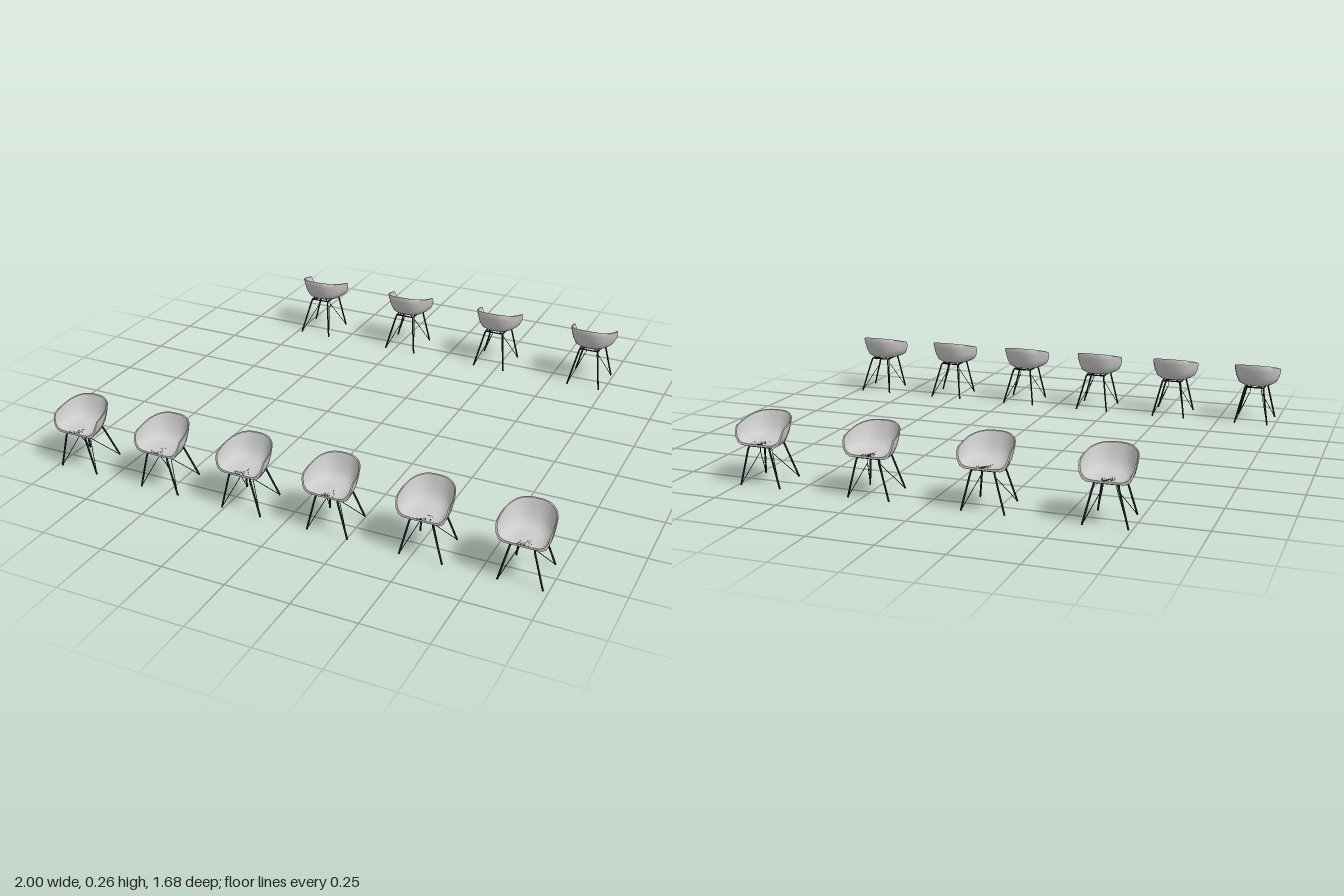
import * as THREE from 'three';
import { toCreasedNormals } from 'three/addons/utils/BufferGeometryUtils.js';

const shellMaterial = new THREE.MeshStandardMaterial({ color: 0xcccccc });
const frameMaterial = new THREE.MeshStandardMaterial({ color: 0x222222, side: THREE.DoubleSide });

const FRONT = 0.08; // z of the seat's front edge

// Shell section from the seat centre, over the rim, to the underside centre:
// [half width, depth, height fraction]
const SECTION = [
  [0, 0, 0.12], [0.035, 0.06, 0.11], [0.06, 0.1, 0.14], [0.075, 0.119, 0.24],
  [0.086, 0.132, 0.45], [0.092, 0.143, 0.75], [0.0935, 0.15, 0.98],
  [0.0965, 0.154, 1], [0.099, 0.155, 0.97],
  [0.098, 0.15, 0.75], [0.093, 0.14, 0.42], [0.083, 0.124, 0.14],
  [0.068, 0.104, 0.02], [0.035, 0.06, 0], [0, 0, 0],
];

// Tub-shaped shell: the section is swept round a D-shaped outline
function shellGeometry() {
  const stations = 36, n = SECTION.length, power = 2 / 2.6;
  const positions = [], index = [];
  for (let i = 0; i <= stations; i++) {
    const t = (i / stations) * Math.PI;
    const c = Math.cos(t), s = Math.max(0, Math.sin(t));
    const x = Math.sign(c) * Math.abs(c) ** power, z = s ** power;
    const height = 0.07 + 0.036 * z;
    for (const [w, d, f] of SECTION) {
      // the arm ends lean back towards the top
      const setback = 0.02 * f ** 3 * (1 - z);
      positions.push(w * x, 0.155 + f * height, FRONT - setback - d * z);
    }
  }
  for (let i = 0; i < stations; i++) {
    for (let j = 0; j < n - 1; j++) {
      const a = i * n + j, b = a + n;
      if (j > 0) index.push(a, a + 1, b);
      if (j < n - 2) index.push(a + 1, b + 1, b);
      else continue;
      if (j === 0) index.splice(-3, 3, a, a + 1, b + 1);
    }
  }
  // close the two front ends of the section
  const last = stations * n;
  for (let j = 0; j < (n - 1) / 2; j++) {
    const k = n - 1 - j;
    index.push(j, k, k - 1, last + j, last + k - 1, last + k);
    if (j + 1 < k - 1) {
      index.push(j, k - 1, j + 1, last + j, last + j + 1, last + k - 1);
    }
  }
  const geometry = new THREE.BufferGeometry();
  geometry.setAttribute('position', new THREE.Float32BufferAttribute(positions, 3));
  geometry.setIndex(index);
  return toCreasedNormals(geometry, 0.8);
}

// Bent rod through the points, with rounded corners
function rod(points, radius, bend = 0.012) {
  const p = points.map((q) => new THREE.Vector3(...q));
  const path = new THREE.CurvePath();
  let from = p[0];
  for (let i = 1; i < p.length - 1; i++) {
    const enter = p[i].clone().add(p[i - 1].clone().sub(p[i]).setLength(bend));
    const leave = p[i].clone().add(p[i + 1].clone().sub(p[i]).setLength(bend));
    path.add(new THREE.LineCurve3(from, enter));
    path.add(new THREE.QuadraticBezierCurve3(enter, p[i], leave));
    from = leave;
  }
  path.add(new THREE.LineCurve3(from, p[p.length - 1]));
  return new THREE.TubeGeometry(path, points.length > 2 ? 48 : 1, radius, 8);
}

function createParts() {
  const parts = [['seatShell', shellGeometry(), shellMaterial]];
  const add = (name, points, radius, bend) => parts.push([name, rod(points, radius, bend), frameMaterial]);

  for (const [side, m] of [['left', 1], ['right', -1]]) {
    const frontFoot = [0.081 * m, 0.001, 0.076], backFoot = [0.071 * m, 0.001, -0.089];
    const frontTop = [0.042 * m, 0.152, 0.074], backTop = [0.04 * m, 0.152, -0.035];
    const apex = [0.025 * m, 0.12, 0.022];
    add(side + 'LegFrame', [frontFoot, frontTop, backTop, backFoot], 0.0036);
    // thin bracing wires
    add(side + 'BraceWire', [frontFoot, apex, backFoot], 0.0013, 0.004);
    add(side + 'BraceHanger', [apex, [0.022 * m, 0.154, 0.022]], 0.0013);
    // diagonal under the seat
    add(side + 'SeatDiagonal', [frontTop, [-0.04 * m, 0.152, -0.035]], 0.0025);
  }
  for (const [name, z] of [['frontCrossbar', 0.066], ['backCrossbar', -0.03]]) {
    add(name, [[-0.042, 0.152, z], [0.042, 0.152, z]], 0.003);
  }
  return parts;
}

export function createModel() {
  const model = new THREE.Group();
  model.name = 'chairRows';
  const parts = createParts();

  const rows = [
    { name: 'frontRow', xs: [-0.9, -0.532, -0.178, 0.175, 0.537, 0.9], z: 0.76, turn: 0 },
    { name: 'backRow', xs: [-0.657, -0.218, 0.219, 0.658], z: -0.76, turn: Math.PI },
  ];
  for (const { name, xs, z, turn } of rows) {
    const row = new THREE.Group();
    row.name = name;
    for (const x of xs) {
      const chair = new THREE.Group();
      chair.name = 'chair';
      for (const [partName, geometry, material] of parts) {
        const mesh = new THREE.Mesh(geometry, material);
        mesh.name = partName;
        chair.add(mesh);
      }
      chair.position.set(x, 0, z);
      chair.rotation.y = turn;
      row.add(chair);
    }
    model.add(row);
  }
  return model;
}
